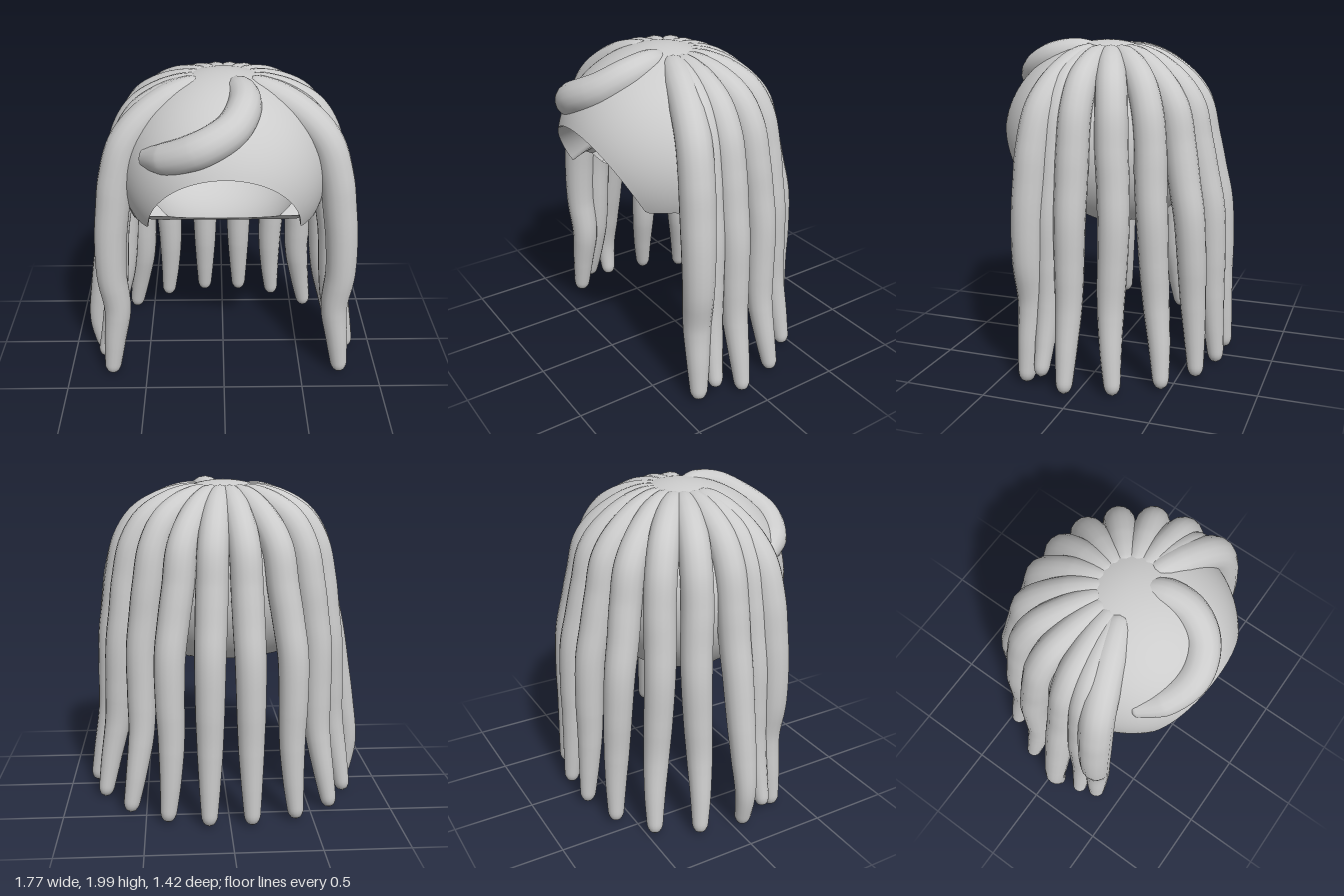
import * as THREE from 'three';
import { mergeVertices, toCreasedNormals } from 'three/addons/utils/BufferGeometryUtils.js';

const V = (x, y, z) => new THREE.Vector3(x, y, z);
const material = new THREE.MeshStandardMaterial({ color: 0xcccccc, side: THREE.DoubleSide });
const CENTER = V(0, 1.38, 0.08);
const FLOOR = 0.93;

// Piecewise-linear lookup through evenly spaced values
function sample(values, u) {
  const t = Math.min(Math.max(u, 0), 1) * (values.length - 1);
  const i = Math.min(Math.floor(t), values.length - 2);
  return THREE.MathUtils.lerp(values[i], values[i + 1], t - i);
}

// Smooth tapering lock of hair with rounded ends
function lock(name, points, radii, segments = 130, sides = 16) {
  const curve = new THREE.CatmullRomCurve3(points);
  const geo = new THREE.TubeGeometry(curve, segments, 1, sides);
  const pos = geo.attributes.position;
  const p = V(), round = 0.03;
  for (let i = 0; i <= segments; i++) {
    const u = i / segments;
    const c = curve.getPointAt(u);
    const e = Math.max(0, 1 - Math.min(u, 1 - u) / round);
    const r = sample(radii, u) * Math.sqrt(Math.max(1 - e * e, 0.0001));
    for (let j = 0; j <= sides; j++) {
      const k = i * (sides + 1) + j;
      p.fromBufferAttribute(pos, k).sub(c).multiplyScalar(r).add(c);
      pos.setXYZ(k, p.x, p.y, p.z);
    }
  }
  geo.deleteAttribute('uv');
  geo.deleteAttribute('normal');
  const smooth = mergeVertices(geo, 1e-5);
  smooth.computeVertexNormals();
  const mesh = new THREE.Mesh(smooth, material);
  mesh.name = name;
  return mesh;
}

// Point where a ray from the cap centre meets an ellipsoid, flattened at the floor
function shellPoint(dir, rx, ry, rzFront, rzBack) {
  const rz = dir.z > 0 ? rzFront : rzBack;
  let d = 1 / Math.hypot(dir.x / rx, dir.y / ry, dir.z / rz);
  if (dir.y < 0) d = Math.min(d, (FLOOR - CENTER.y) / dir.y);
  return dir.clone().multiplyScalar(d).add(CENTER);
}
const outer = (dir) => shellPoint(dir, 0.63, 0.6, 0.655, 0.57);
const inner = (dir) => shellPoint(dir, 0.51, 0.36, 0.56, 0.46);

// Face opening: an arch at the front and a slanted cut underneath
function isOpen(p) {
  if (p.y < 1.17) return p.z > -0.05 + ((p.y - FLOOR) / 0.24) * 0.4;
  return p.z > 0 && Math.hypot(p.x / 0.44, (p.y - 1.17) / 0.4) < 1;
}

// Hollow cap, lofted from the back pole to the opening and back along the inside
function cap() {
  const axis = V(0, -0.5, 0.85).normalize();
  const side = V(1, 0, 0);
  const up = V().crossVectors(axis, side);
  const direction = (theta, phi) => axis.clone().multiplyScalar(Math.cos(theta))
    .addScaledVector(side, Math.sin(theta) * Math.cos(phi))
    .addScaledVector(up, Math.sin(theta) * Math.sin(phi));
  const edge = (surface, phi) => {
    let hi = 0;
    while (hi < 3 && isOpen(surface(direction(hi, phi)))) hi += 0.02;
    let lo = hi - 0.02;
    for (let k = 0; k < 14; k++) {
      const mid = (lo + hi) / 2;
      if (isOpen(surface(direction(mid, phi)))) lo = mid; else hi = mid;
    }
    return hi;
  };

  const cols = 144, rows = 48, positions = [], index = [];
  for (let j = 0; j < cols; j++) {
    const phi = (j / cols) * Math.PI * 2;
    const outerEdge = edge(outer, phi), innerEdge = edge(inner, phi);
    for (let i = 0; i <= rows; i++) {
      const theta = THREE.MathUtils.lerp(Math.PI, outerEdge, i / rows);
      positions.push(...outer(direction(theta, phi)).toArray());
    }
    for (let i = 0; i <= rows; i++) {
      const theta = THREE.MathUtils.lerp(innerEdge, Math.PI, i / rows);
      positions.push(...inner(direction(theta, phi)).toArray());
    }
  }
  const n = 2 * rows + 2;
  for (let j = 0; j < cols; j++) {
    for (let i = 0; i < n - 1; i++) {
      const a = j * n + i, b = ((j + 1) % cols) * n + i;
      index.push(a, a + 1, b, b, a + 1, b + 1);
    }
  }
  const geo = new THREE.BufferGeometry();
  geo.setAttribute('position', new THREE.Float32BufferAttribute(positions, 3));
  geo.setIndex(index);
  const mesh = new THREE.Mesh(toCreasedNormals(geo, 0.6), material);
  mesh.name = 'cap';
  return mesh;
}

// Hanging strands: heights, and the share of the tip's distance reached at each
const HEIGHTS = [1.89, 1.87, 1.76, 1.61, 1.4, 1.2, 1.0, 0.75, 0.5, 0.25, 0.005];
const BACK = [0.13, 0.3, 0.55, 0.72, 0.79, 0.85, 0.91, 0.935, 0.945, 0.97, 1];
const SIDE = [0.14, 0.32, 0.59, 0.715, 0.775, 0.81, 0.845, 0.86, 0.88, 0.94, 1];
const FRONT = [0.16, 0.33, 0.6, 0.78, 0.87, 0.91, 0.94, 0.95, 0.92, 0.96, 1];
const STRAND_RADII = [0.07, 0.088, 0.093, 0.095, 0.096, 0.094, 0.09, 0.085, 0.076, 0.062, 0.045];

function strand(name, fall, tipX, tipZ, { sway = 0, bulge = 0, lift = 0, scale = 1 } = {}) {
  const dx = tipX, dz = tipZ - 0.07;
  const len = Math.hypot(dx, dz);
  const points = fall.map((f, i) => {
    const y = HEIGHTS[i];
    const drop = THREE.MathUtils.clamp((1.4 - y) / 1.4, 0, 1);
    const s = Math.sin(drop * Math.PI * 2) * sway * Math.sign(tipX);
    const b = Math.sin(drop * drop * Math.PI) * bulge;
    return V(dx * f + (-dz * s + dx * b) / len, Math.max(y, lift),
      0.07 + dz * f + (dx * s + dz * b) / len);
  });
  return lock(name, points, STRAND_RADII.map((r) => r * scale));
}

export function createModel() {
  const group = new THREE.Group();
  group.name = 'wig';
  group.add(cap());

  // Strands fan out from the crown; tips differ a little between left and right
  const strands = [
    ['BackStrand', BACK, 0.125, -0.13, -0.67],
    ['BackOuterStrand', BACK, 0.37, -0.4, -0.6, { sway: 0.01 }],
    ['RearSideStrand', SIDE, 0.6, -0.63, -0.45, { sway: 0.01 }],
    ['SideBackStrand', SIDE, 0.77, -0.76, -0.21, { sway: -0.01 }],
    ['SideStrand', SIDE, 0.84, -0.8, 0.065],
    ['ShortStrand', SIDE, 0.79, -0.79, 0.23, { lift: 0.065, scale: 0.95 }],
    ['FrontStrand', FRONT, 0.76, -0.73, 0.335, { scale: 1.08 }],
  ];
  for (const [name, fall, leftX, rightX, z, options] of strands) {
    group.add(strand('left' + name, fall, leftX, z, options));
    const bulged = name === 'SideStrand' ? { bulge: 0.09 } : options;
    group.add(strand('right' + name, fall, rightX, z, bulged));
  }

  // Fringe lock sweeping from the crown across the forehead
  group.add(lock('fringe', [
    V(0.02, 1.86, 0.08), V(0.095, 1.9, 0.23), V(0.11, 1.87, 0.39), V(0.04, 1.79, 0.53),
    V(-0.12, 1.71, 0.6), V(-0.3, 1.63, 0.545), V(-0.45, 1.57, 0.4),
  ], [0.07, 0.09, 0.1, 0.105, 0.105, 0.095, 0.06]));
  return group;
}
